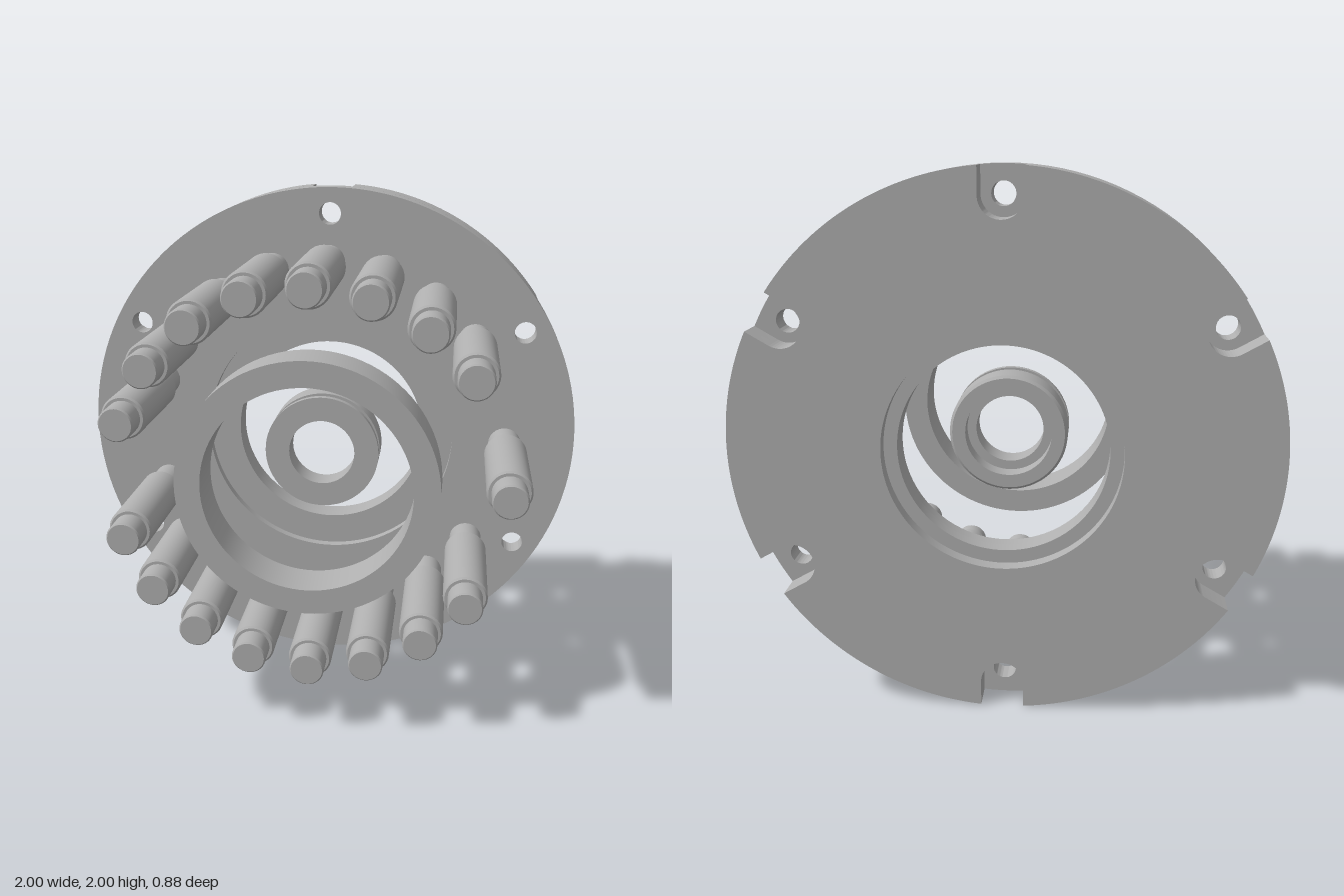
import * as THREE from 'three';
import { toCreasedNormals } from 'three/addons/utils/BufferGeometryUtils.js';

const steel = new THREE.MeshStandardMaterial({ color: 0xb0b0b0 });
steel.name = 'steel grey';

const BOLTS = 6, BOLT_R = 0.9, SLOT_R = 0.08;
const boltAngle = (i) => Math.PI / 6 + (i * Math.PI * 2) / BOLTS;

function addMesh(parent, geometry, name) {
  const mesh = new THREE.Mesh(geometry, steel);
  mesh.name = name;
  parent.add(mesh);
  return mesh;
}

// Solid of revolution around z; points are [radius, z], running outside up (+z)
function turned(points, segments = 64) {
  const g = new THREE.LatheGeometry(points.map(([r, z]) => new THREE.Vector2(r, z)), segments);
  g.rotateX(Math.PI / 2);
  return toCreasedNormals(g, 0.5);
}

function circleHole(x, y, r) {
  return new THREE.Path().absarc(x, y, r, 0, Math.PI * 2, true);
}

// Flat slice of the flange between two depths
function slice(shape, z0, z1) {
  const g = new THREE.ExtrudeGeometry(shape, { depth: z1 - z0, bevelEnabled: false, curveSegments: 64 });
  g.translate(0, 0, z0);
  return toCreasedNormals(g, 0.5);
}

// Full disc with a bore and six bolt holes
function drilledDisc(bore) {
  const s = new THREE.Shape().absarc(0, 0, 1, 0, Math.PI * 2, false);
  s.holes.push(circleHole(0, 0, bore));
  for (let i = 0; i < BOLTS; i++) {
    const a = boltAngle(i);
    s.holes.push(circleHole(BOLT_R * Math.cos(a), BOLT_R * Math.sin(a), 0.043));
  }
  return s;
}

// Disc with round-ended slots open to the rim
function slottedDisc(bore) {
  const s = new THREE.Shape();
  const d = Math.asin(SLOT_R), h = Math.PI / 2;
  for (let i = 0; i < BOLTS; i++) {
    const a = boltAngle(i);
    s.absarc(BOLT_R * Math.cos(a), BOLT_R * Math.sin(a), SLOT_R, a - h, a + h, true);
    s.absarc(0, 0, 1, a + d, boltAngle(i + 1) - d, false);
  }
  s.closePath();
  s.holes.push(circleHole(0, 0, bore));
  return s;
}

export function createModel() {
  const model = new THREE.Group();
  model.name = 'rollerFlangeAssembly';
  const body = new THREE.Group();
  body.position.y = 1;
  model.add(body);

  // Flange: shallow front recess, drilled web, slotted back with counterbore
  const flange = new THREE.Group();
  flange.name = 'flange';
  body.add(flange);
  addMesh(flange, slice(drilledDisc(0.51), -0.28, -0.245), 'flangeFrontRecess');
  addMesh(flange, slice(drilledDisc(0.385), -0.33, -0.28), 'flangeWeb');
  addMesh(flange, slice(slottedDisc(0.385), -0.385, -0.33), 'flangeSlots');
  addMesh(flange, slice(slottedDisc(0.435), -0.44, -0.385), 'flangeBackCounterbore');

  // Front spacer ring
  addMesh(body, turned([
    [0.385, 0.27], [0.48, 0.27], [0.48, 0.44], [0.385, 0.44], [0.385, 0.27],
  ], 96), 'frontRing');

  // Central hub with a groove outside and a stepped bore
  addMesh(body, turned([
    [0.165, -0.17], [0.215, -0.17], [0.225, -0.16], [0.225, -0.06], [0.21, -0.06],
    [0.21, -0.025], [0.225, -0.025], [0.225, 0], [0.13, 0], [0.13, -0.1],
    [0.165, -0.1], [0.165, -0.17],
  ]), 'hub');

  // Rollers on a 20-place circle, with three places left empty
  const rollerGeometry = turned([
    [0, -0.21], [0.06, -0.21], [0.065, -0.205], [0.065, -0.078], [0.076, -0.078],
    [0.083, -0.071], [0.083, 0.343], [0.076, 0.35], [0.065, 0.35], [0.065, 0.435],
    [0.06, 0.44], [0, 0.44],
  ], 32);
  const empty = [1, 10, 19];
  for (let i = 0; i < 20; i++) {
    if (empty.includes(i)) continue;
    const a = (i * Math.PI) / 10;
    addMesh(body, rollerGeometry, 'roller').position.set(0.72 * Math.cos(a), 0.72 * Math.sin(a), 0);
  }
  return model;
}
